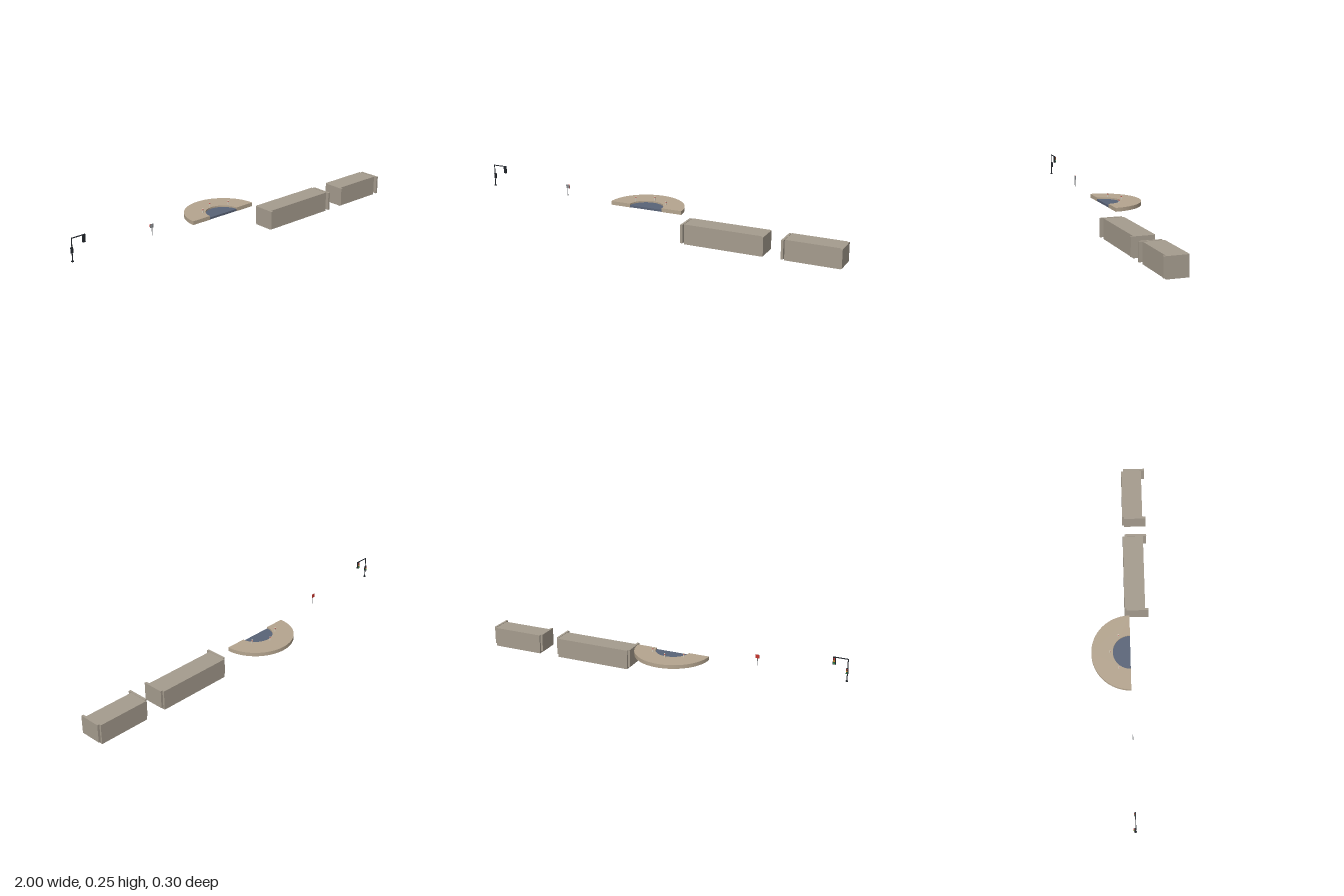
import * as THREE from 'three';

const mat = (color, extra = {}) => new THREE.MeshStandardMaterial({ color, ...extra });
const stone = mat(0xa59c8e);
const paving = mat(0xb5a58f, { flatShading: true });
const water = mat(0x5a6478, { flatShading: true });
const dark = mat(0x22262c);
const grey = mat(0x8a8d90);
const cream = mat(0xd8d0c0);
const red = mat(0xc8342c);
const amber = mat(0xd8902c);
const green = mat(0x2f9a4c);

function add(parent, name, geometry, material, x = 0, y = 0, z = 0) {
  const mesh = new THREE.Mesh(geometry, material);
  mesh.name = name;
  mesh.position.set(x, y, z);
  parent.add(mesh);
  return mesh;
}

// Box given by its two extreme corners
function box(parent, name, material, [x0, y0, z0], [x1, y1, z1]) {
  return add(parent, name, new THREE.BoxGeometry(x1 - x0, y1 - y0, z1 - z0), material,
    (x0 + x1) / 2, (y0 + y1) / 2, (z0 + z1) / 2);
}

// Upright cylinder standing at height y0
function post(parent, name, material, r, x, y0, y1, z, sides = 16) {
  return add(parent, name, new THREE.CylinderGeometry(r, r, y1 - y0, sides), material, x, (y0 + y1) / 2, z);
}

function group(parent, name) {
  const g = new THREE.Group();
  g.name = name;
  parent.add(g);
  return g;
}

// Long block with a forward-set slab at each end
function wallBlock(parent, name, x0, x1) {
  const g = group(parent, name);
  const t = 0.012;
  box(g, 'blockBody', stone, [x0 + t, 0, 0.026], [x1 - t, 0.105, 0.134]);
  for (const x of [x0, x1 - t]) {
    box(g, 'endSlab', stone, [x, 0.01, 0.036], [x + t, 0.107, 0.152]);
  }
}

// Half disc (optionally a half ring) with its straight edge towards +z
function halfDisc(parent, name, material, outer, inner, y0, y1) {
  const shape = new THREE.Shape();
  shape.absarc(0, 0, outer, 0, Math.PI, false);
  if (inner) shape.absarc(0, 0, inner, Math.PI, 0, true);
  shape.closePath();
  const geo = new THREE.ExtrudeGeometry(shape, { depth: y1 - y0, bevelEnabled: false, curveSegments: 32 });
  geo.rotateX(-Math.PI / 2);
  return add(parent, name, geo, material, -0.075, y0, 0.05);
}

// Signal housing with three lamps on its -z face
function signalHead(parent, x, y0, y1, z, w) {
  const g = group(parent, 'signalHead');
  const h = y1 - y0;
  box(g, 'housing', dark, [x - w / 2, y0, z - 0.004], [x + w / 2, y1, z + 0.004]);
  [green, amber, red].forEach((m, i) => {
    const lamp = add(g, 'lamp', new THREE.CylinderGeometry(h * 0.12, h * 0.12, 0.003, 16), m,
      x, y0 + h * (0.2 + 0.3 * i), z - 0.005);
    lamp.rotation.x = Math.PI / 2;
  });
}

export function createModel() {
  const model = new THREE.Group();
  model.name = 'streetFurniture';

  wallBlock(model, 'longBlock', 0.167, 0.606);
  wallBlock(model, 'shortBlock', 0.697, 1.0);

  // Half-round terrace with sunken pool
  const terrace = group(model, 'terrace');
  halfDisc(terrace, 'paving', paving, 0.2, 0.09, 0.122, 0.142);
  halfDisc(terrace, 'pool', water, 0.09, 0, 0.123, 0.134);

  // Bollards around the pool
  for (const [x, z] of [[-0.162, -0.01], [-0.075, -0.054], [0.012, -0.01]]) {
    const g = group(terrace, 'bollard');
    post(g, 'bollardPost', cream, 0.0036, x, 0.141, 0.163, z);
    post(g, 'bollardBand', red, 0.0039, x, 0.1565, 0.1595, z);
  }

  // Small road sign, face towards -z
  const sign = group(model, 'roadSign');
  post(sign, 'signPost', grey, 0.0016, -0.535, 0.138, 0.195, 0.052, 10);
  box(sign, 'signBack', grey, [-0.545, 0.178, 0.049], [-0.525, 0.197, 0.0505]);
  box(sign, 'signFace', red, [-0.545, 0.178, 0.0478], [-0.525, 0.197, 0.049]);

  // Traffic light with overhanging arm
  const light = group(model, 'trafficLight');
  post(light, 'base', dark, 0.0065, -0.9935, 0.135, 0.139, 0.052);
  post(light, 'pole', dark, 0.0025, -0.9935, 0.139, 0.252, 0.052);
  box(light, 'arm', dark, [-0.9935, 0.248, 0.05], [-0.919, 0.252, 0.054]);
  signalHead(light, -0.926, 0.213, 0.25, 0.051, 0.014);
  signalHead(light, -0.9925, 0.176, 0.204, 0.049, 0.011);

  return model;
}
